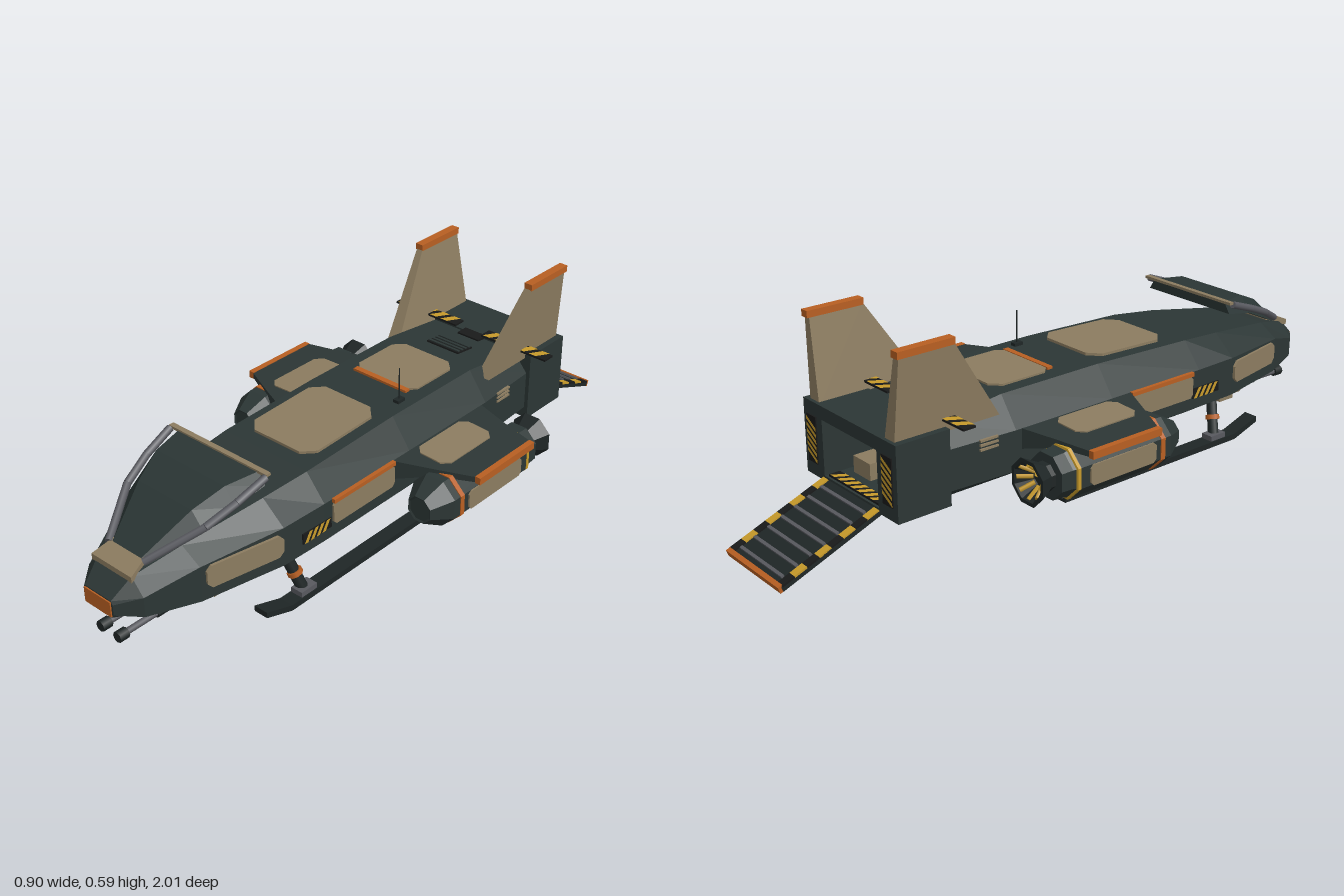
import * as THREE from 'three';

const mat = (name, color) => Object.assign(new THREE.MeshStandardMaterial({ color }), { name });

export function createModel() {
  const root = new THREE.Group();
  root.name = 'dropship';
  const hullM = mat('hull green', 0x2c3635), darkM = mat('dark metal', 0x1f2626), tan = mat('tan', 0x8c7c60),
    orange = mat('orange', 0xb85f22), yellow = mat('yellow', 0xc79a2a), black = mat('black', 0x191a1a),
    grey = mat('grey metal', 0x58595f), glass = mat('canopy glass', 0x2a3534);

  const add = (name, geo, m, parent = root) => {
    const mesh = new THREE.Mesh(geo, m);
    mesh.name = name;
    parent.add(mesh);
    return mesh;
  };
  const box = (name, m, w, h, d, x, y, z, parent) => {
    const b = add(name, new THREE.BoxGeometry(w, h, d), m, parent);
    b.position.set(x, y, z);
    return b;
  };
  const flat = (g) => { const f = g.index ? g.toNonIndexed() : g; f.computeVertexNormals(); return f; };

  // closed faceted solid through rings of equal point count, turned outward whatever the ring order
  const loft = (rings) => {
    const tris = [], n = rings[0].length;
    for (let r = 0; r + 1 < rings.length; r++) for (let i = 0; i < n; i++) {
      const j = (i + 1) % n, a = rings[r], b = rings[r + 1];
      tris.push([a[i], a[j], b[j]], [a[i], b[j], b[i]]);
    }
    const s = rings[0], e = rings[rings.length - 1];
    for (let i = 1; i + 1 < n; i++) tris.push([s[0], s[i + 1], s[i]], [e[0], e[i], e[i + 1]]);
    const v = (p) => new THREE.Vector3(...p);
    const vol = tris.reduce((t, [a, b, c]) => t + v(a).dot(v(b).cross(v(c))), 0);
    const pos = tris.flatMap(([a, b, c]) => (vol > 0 ? [a, b, c] : [a, c, b])).flat();
    const g = new THREE.BufferGeometry();
    g.setAttribute('position', new THREE.Float32BufferAttribute(pos, 3));
    g.computeVertexNormals();
    return g;
  };
  // faceted turned part along z; profile is [radius, z] with z rising
  const turned = (profile, sides = 8) => flat(new THREE.LatheGeometry(
    profile.map(([r, z]) => new THREE.Vector2(r, z)), sides, Math.PI / sides).rotateX(Math.PI / 2));
  const rod = (name, m, a, b, r, parent, sides = 8) => {
    const A = new THREE.Vector3(...a), B = new THREE.Vector3(...b), d = B.clone().sub(A);
    const c = add(name, new THREE.CylinderGeometry(r, r, d.length(), sides), m, parent);
    c.position.copy(A).add(B).multiplyScalar(0.5);
    c.quaternion.setFromUnitVectors(new THREE.Vector3(0, 1, 0), d.normalize());
    return c;
  };
  // thin plate with cut corners, facing +z
  const panel = (name, m, w, h, c, x, y, z, rx = 0, ry = 0, parent = root) => {
    const a = w / 2, b = h / 2;
    const s = new THREE.Shape([[-a + c, -b], [a - c, -b], [a, -b + c], [a, b - c], [a - c, b], [-a + c, b], [-a, b - c], [-a, -b + c]]
      .map((p) => new THREE.Vector2(...p)));
    const p = add(name, new THREE.ExtrudeGeometry(s, { depth: 0.008, bevelEnabled: false }), m, parent);
    p.position.set(x, y, z);
    p.rotation.set(rx, ry, 0);
    return p;
  };
  // black plate with slanted yellow stripes, facing +z
  const hazard = (name, w, h, n, x, y, z, parent = root) => {
    const g = new THREE.Group();
    g.name = name;
    box('stripe backing', black, w, h, 0.006, 0, 0, 0, g);
    const pitch = (w - h * 0.6) / n;
    for (let i = 0; i < n; i++) {
      const x0 = -w / 2 + i * pitch + pitch * 0.15, x1 = x0 + pitch * 0.6, k = h * 0.6;
      const s = new THREE.Shape([[x0, -h / 2], [x1, -h / 2], [x1 + k, h / 2], [x0 + k, h / 2]].map((p) => new THREE.Vector2(...p)));
      add('yellow stripe', new THREE.ShapeGeometry(s), yellow, g).position.z = 0.0042;
    }
    g.position.set(x, y, z);
    parent.add(g);
    return g;
  };
  const both = (fn) => [1, -1].forEach(fn);

  // fuselage: z, top half width, top y, side half width, upper and lower side y, bottom half width, bottom y
  const hull = [
    [1.0, 0.05, 0.222, 0.056, 0.212, 0.18, 0.05, 0.17],
    [0.94, 0.065, 0.272, 0.105, 0.225, 0.165, 0.06, 0.15],
    [0.8, 0.1, 0.308, 0.163, 0.27, 0.162, 0.11, 0.132],
    [0.55, 0.14, 0.342, 0.213, 0.28, 0.16, 0.16, 0.13],
    [0.4, 0.155, 0.356, 0.218, 0.28, 0.16, 0.17, 0.13],
    [0.05, 0.155, 0.367, 0.218, 0.28, 0.16, 0.17, 0.13],
    [-0.3, 0.155, 0.366, 0.218, 0.28, 0.16, 0.17, 0.13],
    [-0.53, 0.155, 0.338, 0.205, 0.28, 0.16, 0.17, 0.13],
  ];
  add('fuselage', loft(hull.map(([z, wt, yt, w, yu, yl, wb, yb]) => [
    [wt, yt, z], [w, yu, z], [w, yl, z], [wb, yb, z], [-wb, yb, z], [-w, yl, z], [-w, yu, z], [-wt, yt, z]])), hullM);
  box('nose plate', orange, 0.1, 0.046, 0.008, 0, 0.196, 1.0);
  add('nose deck', loft([[0.95, 0.076, 0.28, 0.262], [0.87, 0.058, 0.309, 0.28]].map(([z, w, t, b]) =>
    [[w, t, z], [w, b, z], [-w, b, z], [-w, t, z]])), tan);

  // canopy, overhanging the hull at its rear edge
  const canopy = [[0.91, 0.05, 0.29, 0.06, 0.275], [0.76, 0.1, 0.395, 0.142, 0.345], [0.67, 0.128, 0.434, 0.162, 0.385], [0.57, 0.15, 0.44, 0.172, 0.405]];
  add('canopy', loft(canopy.map(([z, wt, yt, wb, yb]) => [[wt, yt, z], [wb, yb, z], [-wb, yb, z], [-wt, yt, z]])), glass);
  box('canopy rear bar', tan, 0.366, 0.008, 0.016, 0, 0.441, 0.568);
  both((s) => {
    const pts = [[0.066, 0.295, 0.9], [0.148, 0.365, 0.76], [0.17, 0.402, 0.67], [0.18, 0.436, 0.575]];
    for (let i = 0; i < 3; i++) rod('canopy frame', grey, [s * pts[i][0], ...pts[i].slice(1)], [s * pts[i + 1][0], ...pts[i + 1].slice(1)], 0.011);
  });

  // roof fittings
  const up = -Math.PI / 2;
  panel('forward roof panel', tan, 0.24, 0.29, 0.035, 0, 0.364, 0.21, up).rotation.x += 0.035;
  panel('rear roof panel', tan, 0.225, 0.21, 0.03, 0, 0.364, -0.185, up);
  box('roof strip', orange, 0.2, 0.01, 0.018, 0, 0.369, -0.08);
  box('vent base', black, 0.12, 0.008, 0.07, 0, 0.355, -0.398).rotation.x = -0.12;
  for (let i = 0; i < 4; i++) box('vent slat', hullM, 0.115, 0.006, 0.008, 0, 0.362 - i * 0.002, -0.373 - i * 0.017);
  box('roof hatch', black, 0.08, 0.012, 0.04, 0, 0.342, -0.51);
  rod('antenna', darkM, [0.115, 0.36, -0.025], [0.115, 0.474, -0.025], 0.002, root, 6);
  box('antenna foot', darkM, 0.02, 0.012, 0.03, 0.115, 0.37, -0.025);

  // rear cargo bay with open back
  const bay = new THREE.Shape([[-0.218, 0.125], [0.218, 0.125], [0.218, 0.345], [-0.218, 0.345]].map((p) => new THREE.Vector2(...p)));
  bay.holes.push(new THREE.Path([[-0.13, 0.14], [-0.13, 0.305], [0.13, 0.305], [0.13, 0.14]].map((p) => new THREE.Vector2(...p))));
  add('cargo bay', new THREE.ExtrudeGeometry(bay, { depth: 0.17, bevelEnabled: false }), hullM).position.z = -0.69;
  box('bay crate', tan, 0.08, 0.05, 0.07, 0.06, 0.165, -0.58);
  hazard('bay sill stripes', 0.24, 0.035, 7, 0, 0.143, -0.665).rotation.x = up;

  // loading ramp
  const ramp = new THREE.Group();
  ramp.name = 'ramp';
  ramp.position.set(0, 0.131, -0.688);
  ramp.rotation.x = -0.37;
  root.add(ramp);
  box('ramp deck', darkM, 0.268, 0.014, 0.325, 0, -0.004, -0.162, ramp);
  box('ramp lip', orange, 0.264, 0.02, 0.014, 0, -0.002, -0.326, ramp);
  for (let i = 0; i < 7; i++) box('ramp tread', grey, 0.21, 0.008, 0.009, 0, 0.005, -0.03 - i * 0.045, ramp);
  both((s) => {
    for (let i = 0; i < 8; i++) box('ramp edge mark', i % 2 ? black : yellow, 0.024, 0.006, 0.04, s * 0.122, 0.004, -0.022 - i * 0.04, ramp);
  });

  both((s) => {
    const side = s * Math.PI / 2;
    // tail fin
    add('tail fin', loft([[0.33, 0.153, 0.197, -0.34, -0.68], [0.58, 0.196, 0.217, -0.5, -0.67]].map(([y, a, b, f, r]) =>
      [[s * a, y, f], [s * b, y, f], [s * b, y, r], [s * a, y, r]])), tan);
    box('fin cap', orange, 0.027, 0.02, 0.18, s * 0.208, 0.583, -0.587);
    hazard('tail stripes', 0.24, 0.04, 5, s * 0.17, 0.367, -0.51).rotation.x = up;
    const patch = hazard('bay door stripes', 0.14, 0.045, 6, s * 0.178, 0.235, -0.691);
    patch.rotation.set(0, Math.PI, Math.PI / 2);

    // flank panels
    panel('forward flank panel', tan, 0.235, 0.068, 0.015, s * 0.189, 0.232, 0.67, 0, s * (Math.PI / 2 - 0.197));
    panel('middle flank panel', tan, 0.25, 0.07, 0.01, s * 0.217, 0.235, 0.245, 0, side);
    box('flank strip', orange, 0.016, 0.012, 0.25, s * 0.221, 0.276, 0.245);
    hazard('flank stripes', 0.11, 0.032, 4, s * 0.217, 0.21, 0.43).rotation.y = side;
    for (let i = 0; i < 3; i++) box('flank louvre', tan, 0.008, 0.006, 0.06, s * 0.214, 0.254 + i * 0.013, -0.39);

    // stub wing
    add('wing', loft([[0.2, 0.13, -0.285, 0.215, 0.281], [0.33, 0.07, -0.25, 0.252, 0.275], [0.43, 0.022, -0.228, 0.254, 0.271]]
      .map(([x, f, r, b, t]) => [[s * x, t, f], [s * x, t, r], [s * x, b, r], [s * x, b, f]])), hullM);
    box('wing tip', orange, 0.018, 0.022, 0.25, s * 0.439, 0.262, -0.103);
    panel('wing panel', tan, 0.115, 0.22, 0.022, s * 0.285, 0.2725, -0.07, up).rotation.y = s * 0.04;

    // engine pod
    const pod = new THREE.Group();
    pod.name = 'engine pod';
    pod.position.set(s * 0.343, 0.19, 0);
    root.add(pod);
    add('pod body', turned([[0, -0.3], [0.068, -0.3], [0.07, -0.262], [0.079, -0.24], [0.079, 0.09], [0.042, 0.155], [0.036, 0.152], [0, 0.152]]), hullM, pod);
    add('pod front band', turned([[0.078, 0.05], [0.082, 0.05], [0.082, 0.066], [0.078, 0.066]]), orange, pod);
    add('pod rear band', turned([[0.06, -0.256], [0.08, -0.252], [0.08, -0.242], [0.06, -0.24]]), yellow, pod);
    add('nozzle', turned([[0, -0.322], [0.022, -0.322], [0.058, -0.366], [0.069, -0.366], [0.042, -0.315], [0.042, -0.295]]), darkM, pod);
    add('nozzle glow', turned([[0.023, -0.324], [0.05, -0.36]].reverse()).scale(1, 1, 1), black, pod).visible = true;
    for (let i = 0; i < 8; i++) {
      const a = i * Math.PI / 4, c = Math.cos(a), d = Math.sin(a);
      rod('nozzle vane', yellow, [c * 0.022, d * 0.022, -0.326], [c * 0.05, d * 0.05, -0.362], 0.007, pod, 5);
    }
    panel('pod side panel', tan, 0.24, 0.06, 0.01, s * 0.07, 0, -0.09, 0, side, pod);
    box('pod belly strip', orange, 0.05, 0.006, 0.2, 0, -0.072, -0.09, pod);

    // landing skid
    add('skid rail', loft([[-0.14, 0.02, 0.038], [0.55, 0.02, 0.038], [0.645, 0.052, 0.07]].map(([z, b, t]) =>
      [[s * 0.19, b, z], [s * 0.236, b, z], [s * 0.236, t, z], [s * 0.19, t, z]])), darkM);
    for (const z of [0.49, -0.11]) {
      rod('skid strut', darkM, [s * 0.175, 0.14, z + 0.015], [s * 0.213, 0.035, z - 0.01], 0.017);
      rod('strut collar', orange, [s * 0.19, 0.102, z + 0.005], [s * 0.195, 0.089, z + 0.002], 0.022);
      box('strut shoe', grey, 0.04, 0.018, 0.06, s * 0.213, 0.045, z - 0.01);
    }

    // gun barrel
    rod('gun barrel', grey, [s * 0.033, 0.084, 0.7], [s * 0.033, 0.084, 0.97], 0.009);
    rod('gun muzzle', darkM, [s * 0.033, 0.084, 0.95], [s * 0.033, 0.084, 0.98], 0.016);
    rod('barrel sleeve', darkM, [s * 0.033, 0.084, 0.75], [s * 0.033, 0.084, 0.85], 0.013);
  });

  // chin turret
  rod('turret ring', orange, [0, 0.109, 0.7], [0, 0.119, 0.7], 0.075, root, 12);
  rod('turret neck', darkM, [0, 0.095, 0.7], [0, 0.14, 0.7], 0.055, root, 12);
  add('turret housing', loft([[0.1, 0.07, 0.62, 0.775], [0.068, 0.055, 0.64, 0.765]].map(([y, w, r, f]) =>
    [[w, y, f], [w, y, r], [-w, y, r], [-w, y, f]])), tan);
  box('ammunition box', tan, 0.18, 0.03, 0.06, 0, 0.09, 0.665);
  return root;
}
